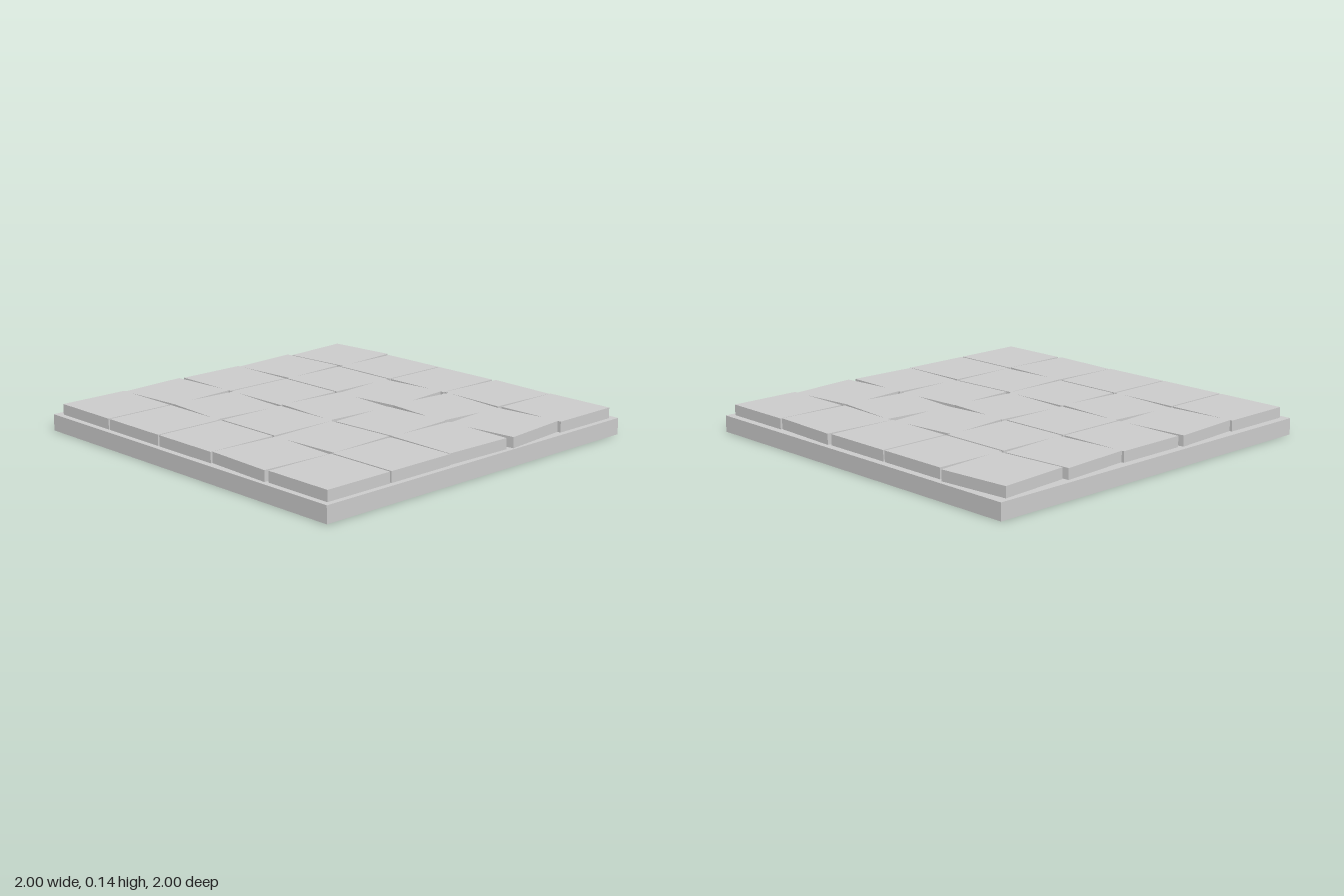
import * as THREE from 'three';

// Twist of each tile in radians about y, rows from back to front
const TWIST = [
  [0.08, 0, 0, -0.045, 0],
  [0.07, 0, 0.1, -0.1, 0.1],
  [0, 0, -0.07, 0.05, -0.03],
  [0.07, -0.07, 0, 0.05, 0],
  [0, 0, 0, -0.045, 0],
];
const BASE_HEIGHT = 0.085;
const TOP = 0.14;
const TILE = 0.378;
const PITCH = 0.388;

export function createModel() {
  const group = new THREE.Group();
  group.name = 'tiledFloor';
  const material = new THREE.MeshStandardMaterial({ color: 0xcccccc, flatShading: true });

  // Slab under the tiles
  const slab = new THREE.Mesh(new THREE.BoxGeometry(2, BASE_HEIGHT, 2), material);
  slab.name = 'baseSlab';
  slab.position.y = BASE_HEIGHT / 2;
  group.add(slab);

  // Loosely laid square tiles
  const tiles = new THREE.Group();
  tiles.name = 'tiles';
  const tileGeometry = new THREE.BoxGeometry(TILE, TOP - BASE_HEIGHT, TILE);
  TWIST.forEach((row, r) => row.forEach((angle, c) => {
    const tile = new THREE.Mesh(tileGeometry, material);
    tile.name = `tile${r + 1}_${c + 1}`;
    tile.position.set(0.006 + (c - 2) * PITCH, (TOP + BASE_HEIGHT) / 2, 0.003 + (r - 2) * PITCH);
    tile.rotation.y = angle;
    tiles.add(tile);
  }));
  group.add(tiles);
  return group;
}
